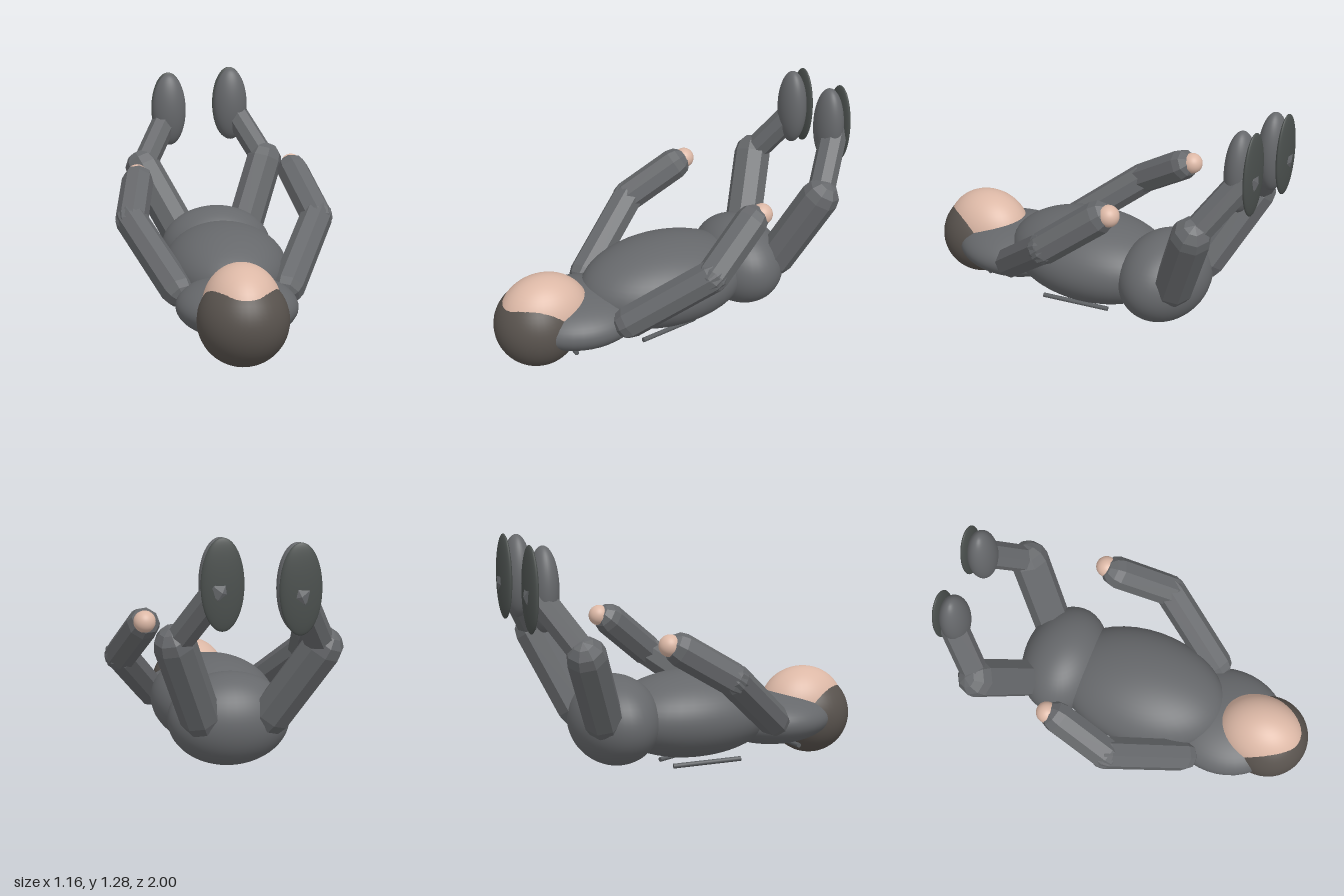
import * as THREE from 'three';

const mat = (color, flatShading = false) => new THREE.MeshStandardMaterial({ color, flatShading });

export function createModel() {
  const model = new THREE.Group();
  model.name = 'recliningFigure';
  const suit = mat(0x66686b), limbSuit = mat(0x66686b, true);
  const skin = mat(0xdcb8a6), hairMat = mat(0x58524d), soleMat = mat(0x4a4f4d), strapMat = mat(0x5a5d60);

  function add(name, geometry, material, parent = model) {
    const mesh = new THREE.Mesh(geometry, material);
    mesh.name = name;
    parent.add(mesh);
    return mesh;
  }

  // Smooth ball stretched along the three axes
  function ellipsoid(name, pos, radii, material, parent) {
    const geometry = new THREE.SphereGeometry(1, 40, 28).scale(...radii);
    add(name, geometry, material, parent).position.set(...pos);
  }

  // Aligns a y-axis solid with the line from a to b
  function between(mesh, a, b) {
    const dir = b.clone().sub(a);
    mesh.position.copy(a).addScaledVector(dir, 0.5);
    mesh.quaternion.setFromUnitVectors(new THREE.Vector3(0, 1, 0), dir.normalize());
  }

  // Faceted round-ended limb segment
  function limb(name, from, to, radius, parent) {
    const a = new THREE.Vector3(...from), b = new THREE.Vector3(...to);
    const geometry = new THREE.CapsuleGeometry(radius, a.distanceTo(b), 3, 8);
    between(add(name, geometry, limbSuit, parent), a, b);
  }

  // Thin round rod
  function rod(name, from, to, radius) {
    const a = new THREE.Vector3(...from), b = new THREE.Vector3(...to);
    const geometry = new THREE.CylinderGeometry(radius, radius, a.distanceTo(b), 10);
    between(add(name, geometry, strapMat), a, b);
  }

  // Trunk, lying on its back
  ellipsoid('torso', [0, 0.3, 0.03], [0.33, 0.235, 0.48], suit);
  ellipsoid('hips', [0, 0.308, -0.43], [0.312, 0.238, 0.23], suit);
  ellipsoid('shoulders', [0, 0.228, 0.53], [0.307, 0.145, 0.34], suit);

  // Head
  ellipsoid('hair', [0, 0.225, 0.777], [0.225, 0.225, 0.225], hairMat);
  ellipsoid('face', [0, 0.28, 0.73], [0.194, 0.213, 0.243], skin);

  // Harness rods under the back
  for (const s of [1, -1]) rod('backStrap', [s * 0.17, 0.055, 0.24], [s * 0.08, 0.035, -0.12], 0.013);
  rod('neckStrap', [-0.155, 0.08, 0.62], [0.155, 0.08, 0.62], 0.013);

  // Joints differ slightly from side to side
  const sides = [
    {
      name: 'left', s: 1, wrist: [0.41, 0.772, -0.265],
      hip: [0.17, 0.355, -0.57], knee: [0.32, 0.755, -0.74],
      ankle: [0.15, 1.04, -0.925], foot: [0.135, 1.07],
    },
    {
      name: 'right', s: -1, wrist: [-0.45, 0.728, -0.265],
      hip: [-0.19, 0.355, -0.57], knee: [-0.395, 0.72, -0.745],
      ankle: [-0.235, 1.01, -0.925], foot: [-0.23, 1.04],
    },
  ];

  for (const { name, s, wrist, hip, knee, ankle, foot } of sides) {
    // Arm raised towards the legs
    const arm = new THREE.Group();
    arm.name = name + 'Arm';
    model.add(arm);
    const elbow = [s * 0.497, 0.563, 0.005];
    limb('upperArm', [s * 0.285, 0.275, 0.373], elbow, 0.087, arm);
    limb('forearm', elbow, wrist, 0.087, arm);
    ellipsoid('hand', [wrist[0], wrist[1] + 0.025, wrist[2] - 0.062], [0.056, 0.056, 0.056], skin, arm);

    // Bent leg with the foot upright
    const leg = new THREE.Group();
    leg.name = name + 'Leg';
    model.add(leg);
    limb('thigh', hip, knee, 0.104, leg);
    limb('shin', knee, ankle, 0.073, leg);
    ellipsoid('foot', [...foot, -0.895], [0.099, 0.21, 0.073], suit, leg);
    ellipsoid('sole', [...foot, -0.963], [0.101, 0.215, 0.024], soleMat, leg);
  }
  return model;
}
